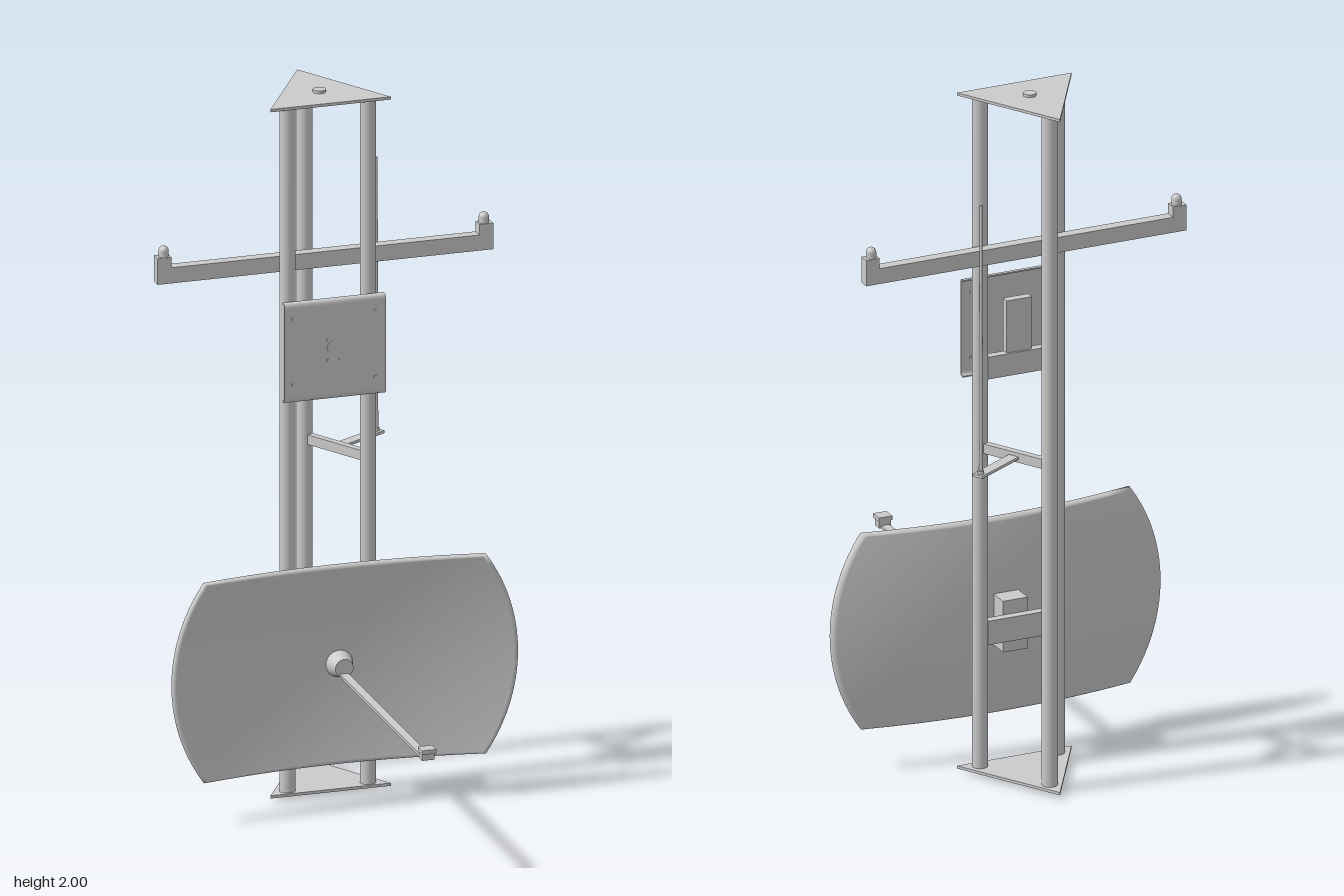
import * as THREE from 'three';
import { ParametricGeometry } from 'three/addons/geometries/ParametricGeometry.js';

const mat = new THREE.MeshStandardMaterial({ color: 0xcccccc });
const thin = new THREE.MeshStandardMaterial({ color: 0xcccccc, side: THREE.DoubleSide });

export function createModel() {
  const root = new THREE.Group();
  const add = (name, geo, x = 0, y = 0, z = 0, m = mat) => {
    const mesh = new THREE.Mesh(geo, m);
    mesh.name = name;
    mesh.position.set(x, y, z);
    root.add(mesh);
    return mesh;
  };
  const box = (name, w, h, d, x, y, z) => add(name, new THREE.BoxGeometry(w, h, d), x, y, z);
  const rod = (name, r0, r1, h, x, y, z, n = 24) =>
    add(name, new THREE.CylinderGeometry(r0, r1, h, n), x, y, z);

  // Three mast tubes
  for (const [x, z] of [[-0.115, -0.312], [0.115, -0.312], [0, -0.514]])
    rod('mastTube', 0.022, 0.022, 1.97, x, 1, z);

  // Triangular end plates with a centre bolt
  const tri = new THREE.Shape();
  tri.moveTo(-0.172, 0.285).lineTo(0.172, 0.285).lineTo(0, 0.58).closePath();
  for (const [y, by] of [[1.984, 1.992], [0.01, 0.008]]) {
    const geo = new THREE.ExtrudeGeometry(tri, { depth: 0.008, bevelEnabled: false });
    geo.rotateX(-Math.PI / 2);
    add('endPlate', geo, 0, y, 0);
    rod('plateBolt', 0.018, 0.018, 0.016, 0, by, -0.385);
  }

  // Upper cross arm with raised ends and domed caps
  box('crossArm', 0.96, 0.045, 0.032, 0, 1.528, -0.347);
  for (const s of [-1, 1]) {
    box('armEnd', 0.04, 0.075, 0.032, s * 0.46, 1.543, -0.347);
    rod('capStem', 0.014, 0.014, 0.018, s * 0.458, 1.588, -0.347);
    add('capDome', new THREE.SphereGeometry(0.014, 20, 8, 0, Math.PI * 2, 0, Math.PI / 2),
      s * 0.458, 1.597, -0.347);
  }

  // Flat panel: a thin sheet with top and bottom edges folded back
  const sheet = new THREE.Shape();
  sheet.moveTo(-0.278, 1.15).lineTo(-0.268, 1.15).quadraticCurveTo(-0.261, 1.151, -0.261, 1.165);
  sheet.lineTo(-0.261, 1.42).quadraticCurveTo(-0.261, 1.434, -0.268, 1.435).lineTo(-0.278, 1.435);
  sheet.lineTo(-0.278, 1.431).lineTo(-0.269, 1.431).quadraticCurveTo(-0.265, 1.43, -0.265, 1.42);
  sheet.lineTo(-0.265, 1.165).quadraticCurveTo(-0.265, 1.155, -0.269, 1.154).lineTo(-0.278, 1.154);
  const sheetGeo = new THREE.ExtrudeGeometry(sheet, { depth: 0.29, bevelEnabled: false, curveSegments: 6 });
  sheetGeo.rotateY(-Math.PI / 2);
  add('panelSheet', sheetGeo, 0.15, 0, 0);
  const studs = [[-0.115, 1.39], [0.12, 1.39], [-0.115, 1.2], [0.12, 1.2],
    [-0.015, 1.32], [-0.015, 1.26], [0.02, 1.26]];
  for (const [x, y] of studs)
    rod('panelStud', 0.005, 0.005, 0.008, x, y, -0.263, 12).rotation.x = Math.PI / 2;

  // Panel mount behind the sheet
  rod('panelPivot', 0.018, 0.018, 0.04, 0, 1.298, -0.28).rotation.x = Math.PI / 2;
  box('panelBracket', 0.075, 0.16, 0.025, 0, 1.29, -0.305);
  box('panelRail', 0.2, 0.065, 0.025, 0, 1.185, -0.312);

  // Curved reflector: a shallow round bowl cut flat at top and bottom
  const R = 0.495, H = 0.287, corner = Math.asin(H / R), edge = 0.0125;
  const rimAngle = (u) => {
    const q = Math.min(Math.floor(u * 4), 3), t = u * 4 - q;
    const f = q % 2 ? 1 - t : t;
    const a = f < 0.5 ? 2 * f * corner : corner + (2 * f - 1) * (Math.PI / 2 - corner);
    return [a, Math.sign(q === 1 || q === 2 ? -1 : 1), q < 2 ? -1 : 1];
  };
  const bowl = (u, v, target) => {
    const [a, sx, sy] = rimAngle(u);
    const lim = Math.min(R, H / Math.max(Math.sin(a), 1e-6));
    const inner = lim - edge;
    let r, off;
    if (v < 0.35) { r = inner * (0.02 + 0.98 * v / 0.35); off = edge; }
    else if (v > 0.65) { r = inner * (0.02 + 0.98 * (1 - v) / 0.35); off = -edge; }
    else {
      const p = Math.PI * (v - 0.35) / 0.3;
      r = inner + edge * Math.sin(p);
      off = edge * Math.cos(p);
    }
    target.set(sx * r * Math.cos(a), sy * r * Math.sin(a), -0.222 + 0.245 * r * r + off);
  };
  add('reflector', new ParametricGeometry(bowl, 80, 40), 0, 0.407, 0, thin);

  // Reflector mount
  box('reflectorBracket', 0.074, 0.15, 0.07, 0, 0.405, -0.258);
  box('reflectorRail', 0.2, 0.07, 0.025, 0, 0.405, -0.305);

  // Feed: tapered hub, thin boom and tip
  rod('feedHub', 0.026, 0.04, 0.05, 0, 0.405, -0.19, 32).rotation.x = Math.PI / 2;
  box('feedBoom', 0.025, 0.008, 0.74, 0, 0.386, 0.19);
  box('feedTip', 0.036, 0.022, 0.026, 0, 0.394, 0.558);
  box('feedTipPlate', 0.04, 0.012, 0.038, 0, 0.409, 0.561);

  // Side whip aerial on a strut between the right-angled tubes
  const strut = box('whipStrut', 0.2, 0.028, 0.02, 0.058, 0.956, -0.413);
  strut.rotation.y = -Math.PI / 3 + Math.PI;
  const arm = box('whipArm', 0.19, 0.008, 0.032, 0.131, 0.955, -0.459);
  arm.rotation.y = Math.PI / 6;
  rod('whipFoot', 0.009, 0.009, 0.016, 0.2, 0.96, -0.5, 16);
  rod('whip', 0.004, 0.006, 0.79, 0.2, 1.35, -0.5, 12);

  return root;
}
